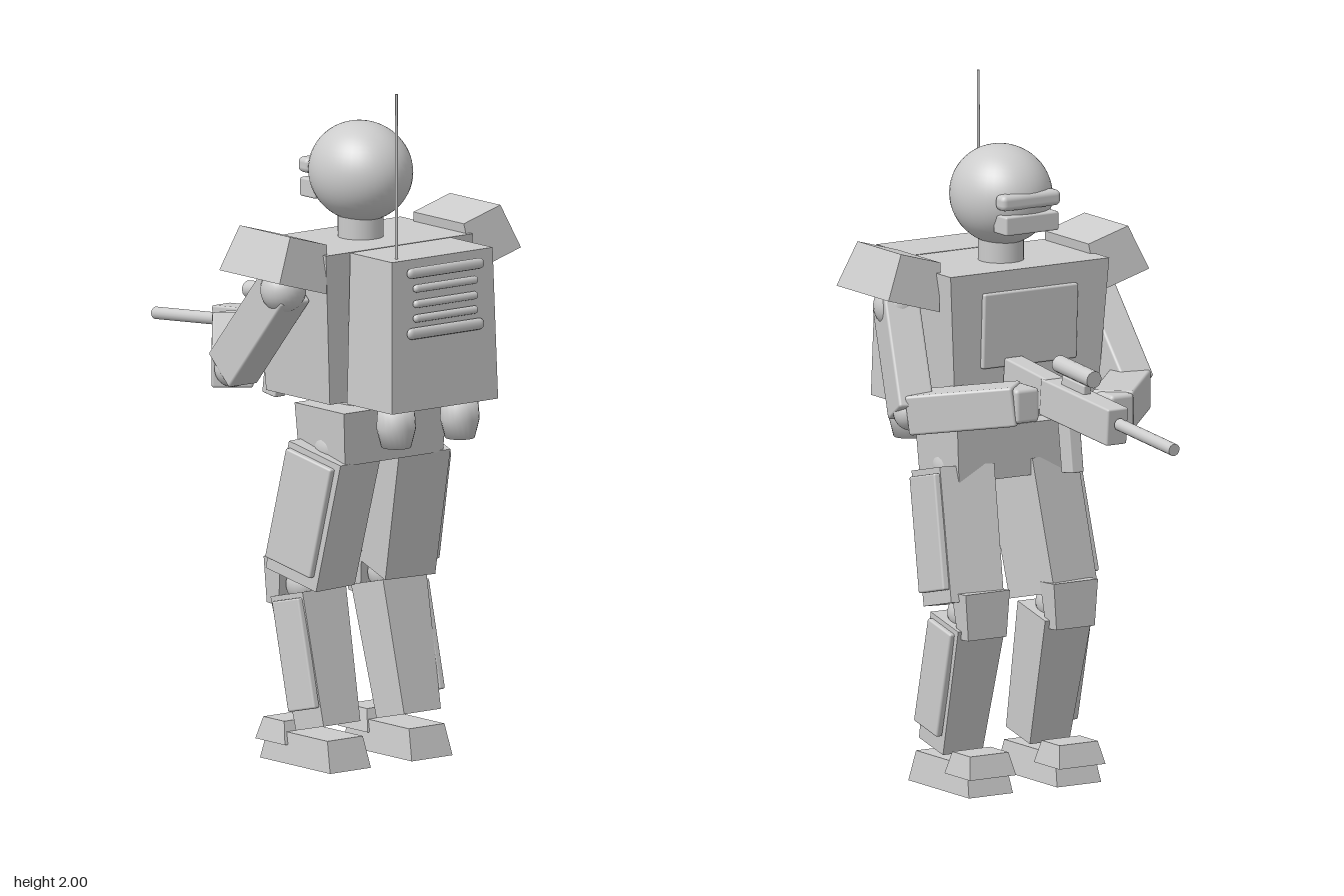
import * as THREE from 'three';
import { RoundedBoxGeometry } from 'three/addons/geometries/RoundedBoxGeometry.js';

const grey = new THREE.MeshStandardMaterial({ color: 0xcccccc });
grey.name = 'light grey';

// Box whose top face differs in size from its bottom face; dz slides the top along z
function taper(bw, bd, tw, td, h, dz = 0) {
  const g = new THREE.BoxGeometry(1, h, 1);
  const p = g.attributes.position;
  for (let i = 0; i < p.count; i++) {
    const top = p.getY(i) > 0;
    p.setX(i, p.getX(i) * (top ? tw : bw));
    p.setZ(i, p.getZ(i) * (top ? td : bd) + (top ? dz : 0));
  }
  g.computeVertexNormals();
  return g;
}
const rbox = (w, h, d, r = 0.006) => new RoundedBoxGeometry(w, h, d, 2, r);
const ball = (r) => new THREE.SphereGeometry(r, 24, 16);

export function createModel() {
  const model = new THREE.Group();
  model.name = 'armouredTrooper';

  function add(name, geo, pos, rot = [0, 0, 0], parent = model) {
    const m = new THREE.Mesh(geo, grey);
    m.name = name;
    m.position.set(...pos);
    m.rotation.set(...rot);
    parent.add(m);
    return m;
  }
  function group(name, pos, rot = [0, 0, 0]) {
    const g = new THREE.Group();
    g.name = name;
    g.position.set(...pos);
    g.rotation.set(...rot);
    model.add(g);
    return g;
  }
  // Box running from point a to point b
  function limb(name, a, b, w, h) {
    const va = new THREE.Vector3(...a), vb = new THREE.Vector3(...b);
    const m = add(name, rbox(w, h, va.distanceTo(vb), 0.008), va.clone().lerp(vb, 0.5).toArray());
    m.lookAt(vb);
  }

  // Head, neck and visor
  add('head', new THREE.SphereGeometry(1, 40, 28), [0, 1.71, 0.3]).scale.set(0.142, 0.145, 0.163);
  add('neck', new THREE.CylinderGeometry(0.066, 0.066, 0.1, 24), [0, 1.56, 0.3]);
  add('visor', rbox(0.2, 0.046, 0.05, 0.016), [0, 1.716, 0.157]);
  add('mouthGuard', rbox(0.18, 0.055, 0.07), [0, 1.65, 0.167]);

  // Torso, waist and pelvis
  add('torso', taper(0.48, 0.29, 0.54, 0.33, 0.44), [0, 1.3, 0.312]);
  add('chestPanel', rbox(0.32, 0.22, 0.025), [0, 1.35, 0.154], [-0.045, 0, 0]);
  add('waist', new THREE.CylinderGeometry(0.1, 0.1, 0.08, 24), [0, 1.06, 0.34]);
  add('pelvis', taper(0.36, 0.21, 0.38, 0.225, 0.155), [0, 0.97, 0.347]);

  // Backpack with vents, thrusters and antenna
  add('backpack', taper(0.39, 0.205, 0.37, 0.19, 0.44, -0.005), [0, 1.3, 0.582]);
  [[1.483, 0.28, 0.016], [1.437, 0.235, 0.012], [1.392, 0.235, 0.012], [1.35, 0.235, 0.012], [1.307, 0.28, 0.017]]
    .forEach(([y, w, r]) => {
      add('vent', new THREE.CapsuleGeometry(r, w - 2 * r, 4, 10), [0, y, 0.687], [0, 0, Math.PI / 2])
        .scale.z = 0.011 / r;
    });
  const nozzle = [[0, -0.05], [0.043, -0.055], [0.057, 0], [0.053, 0.055], [0, 0.055]]
    .map(([x, y]) => new THREE.Vector2(x, y));
  for (const s of [-1, 1]) {
    add('thruster', new THREE.LatheGeometry(nozzle, 20), [0.117 * s, 1.02, 0.607]);
  }
  add('antenna', new THREE.CylinderGeometry(0.004, 0.005, 0.49, 8), [-0.14, 1.755, 0.637]);

  // Shoulders and legs, mirrored
  for (const s of [-1, 1]) {
    add('shoulderPad', taper(0.18, 0.275, 0.14, 0.23, 0.138), [0.338 * s, 1.501, 0.343], [0, 0, 0.28 * s]);
    add('shoulderJoint', ball(0.066), [0.325 * s, 1.41, 0.35]);

    add('hipJoint', ball(0.075), [0.115 * s, 0.925, 0.347]);
    const thigh = group('thigh', [0.143 * s, 0.73, 0.303], [0.235, -0.15 * s, 0.05 * s]);
    add('thighCore', taper(0.165, 0.2, 0.17, 0.205, 0.39), [0, 0, 0], [0, 0, 0], thigh);
    add('thighPlate', rbox(0.022, 0.335, 0.18), [0.092 * s, 0.01, -0.006], [0, 0, 0], thigh);

    add('kneeJoint', ball(0.06), [0.15 * s, 0.515, 0.24]);
    add('kneeCap', taper(0.13, 0.055, 0.15, 0.075, 0.135), [0.15 * s, 0.52, 0.17], [0.06, 0, 0]);

    const shin = group('shin', [0.148 * s, 0.305, 0.29], [-0.235, 0, 0]);
    add('shinCore', taper(0.135, 0.13, 0.16, 0.15, 0.39), [0, 0, 0], [0, 0, 0], shin);
    add('shinPlate', rbox(0.022, 0.32, 0.125), [0.083 * s, 0.02, 0.005], [0, 0, 0], shin);

    add('foot', taper(0.15, 0.32, 0.13, 0.27, 0.09), [0.15 * s, 0.045, 0.28]);
    add('toeCap', taper(0.157, 0.135, 0.13, 0.095, 0.065), [0.152 * s, 0.087, 0.173]);
  }

  // Arms, each posed to hold the rifle
  const arms = [
    { shoulder: [0.32, 1.42, 0.36], elbow: [0.36, 1.125, 0.215], wrist: [0.14, 1.165, -0.01], hand: [0.138, 1.165, -0.008] },
    { shoulder: [-0.315, 1.42, 0.35], elbow: [-0.31, 1.14, 0.1], wrist: [-0.033, 1.165, -0.24], hand: [-0.037, 1.168, -0.238] },
  ];
  for (const a of arms) {
    limb('upperArm', a.shoulder, a.elbow, 0.105, 0.13);
    add('elbowJoint', ball(0.052), a.elbow);
    limb('forearm', a.elbow, a.wrist, 0.12, 0.115);
    add('hand', rbox(0.08, 0.1, 0.1, 0.012), a.hand);
  }

  // Rifle, muzzle toward -z and dipped slightly
  const rifle = group('rifle', [0.057, 1.17, -0.225], [-0.09, 0, 0]);
  add('receiver', rbox(0.07, 0.108, 0.36), [0, 0, 0], [0, 0, 0], rifle);
  add('stock', rbox(0.063, 0.1, 0.22), [0, 0.01, 0.27], [-0.03, 0, 0], rifle);
  add('barrel', new THREE.CylinderGeometry(0.018, 0.018, 0.29, 16), [0, 0.01, -0.335], [Math.PI / 2, 0, 0], rifle);
  add('sightRail', rbox(0.025, 0.03, 0.12, 0.004), [0, 0.065, 0.045], [0, 0, 0], rifle);
  add('scope', new THREE.CylinderGeometry(0.025, 0.025, 0.185, 16), [0, 0.105, 0.046], [Math.PI / 2, 0, 0], rifle);
  add('magazine', rbox(0.04, 0.17, 0.06, 0.004), [0, -0.11, 0.06], [0.23, 0, 0], rifle);

  return model;
}
